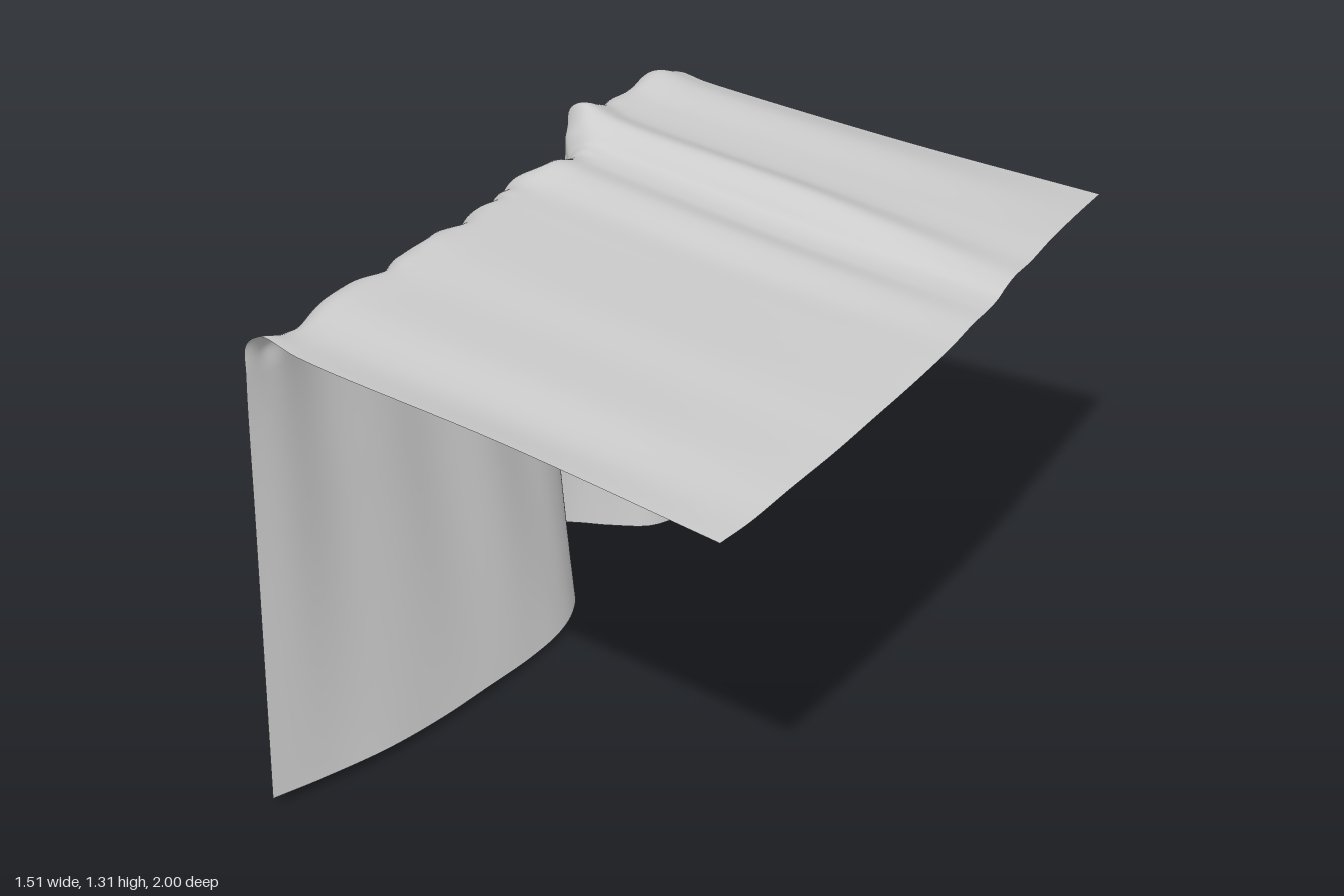
import * as THREE from 'three';

// Stations along the cloth, front to back:
// [hemX, hemZ, crestY, bottomX, bottomY, bottomZ, farZ]
const stations = [
  [-.485, .975, 1.30, -.485, .03, 1.0, .88],
  [-.48, .86, 1.27, -.44, .03, .85, .77],
  [-.51, .70, 1.28, -.40, .03, .68, .62],
  [-.52, .52, 1.265, -.385, .025, .5, .44],
  [-.54, .36, 1.265, -.38, .025, .33, .28],
  [-.55, .20, 1.25, -.382, .02, .17, .12],
  [-.58, .07, 1.24, -.395, .02, .04, -.01],
  [-.6, -.03, 1.235, -.43, .02, -.06, -.1],
  [-.59, -.14, 1.255, -.495, .015, -.14, -.21],
  [-.575, -.22, 1.235, -.6, .025, -.17, -.29],
  [-.595, -.275, 1.245, -.7, .035, -.165, -.345],
  [-.635, -.31, 1.285, -.755, .045, -.21, -.385],
  [-.655, -.35, 1.31, -.755, .045, -.27, -.435],
  [-.66, -.43, 1.275, -.7, .035, -.36, -.53],
  [-.67, -.54, 1.265, -.61, .02, -.44, -.66],
  [-.675, -.67, 1.275, -.54, .005, -.52, -.83],
  [-.68, -.755, 1.24, -.51, 0, -.6, -1.0],
];

// Control points across the cloth, from the free top edge over the bend to the bottom hem
function crossSection([hx, hz, cy, bx, by, bz, fz]) {
  const V = (x, y, z) => new THREE.Vector3(x, y, z);
  const wave = cy - 1.26;
  const far = V(.68 + .129 * fz - .051 * fz * fz,
    1.18 + .22 * wave - .035 * THREE.MathUtils.smoothstep(-fz, .65, 1), fz);
  const near = V(hx + .15, cy - .012 - .25 * wave, hz - .012);
  const mid = far.clone().lerp(near, .5);
  mid.y += .3 * wave - .002;
  const hem = V(hx, cy - .1 - .5 * wave, hz);
  const bottom = V(bx, by, bz);
  return [far, mid, near, V(hx + .055, cy, hz - .003), V(hx + .008, cy - .035, hz), hem,
    hem.clone().lerp(bottom, .33), hem.clone().lerp(bottom, .67), bottom];
}

// Lofts a smooth grid through the sections
function loft(sections, nu, nv) {
  const rails = sections[0].map((_, k) => new THREE.CatmullRomCurve3(sections.map(s => s[k])));
  const pos = [], index = [];
  for (let i = 0; i <= nu; i++) {
    const t = i / nu;
    const across = new THREE.CatmullRomCurve3(rails.map(r => r.getPoint(t)));
    for (let j = 0; j <= nv; j++) {
      const v = j / nv, p = across.getPoint(v);
      // fine gathers along the bend and soft folds on the hanging side
      const bend = Math.exp(-Math.pow((v - .48) / .1, 2));
      const hang = Math.sin(Math.PI * THREE.MathUtils.clamp((v - .55) / .45, 0, 1));
      p.y += .005 * bend * Math.sin(t * 97 + 1.5 * Math.sin(t * 31));
      p.x += .007 * bend * Math.sin(t * 83 + 2 * Math.sin(t * 23)) + .005 * hang * Math.sin(t * 46);
      pos.push(p.x, p.y, p.z);
      if (i < nu && j < nv) {
        const a = i * (nv + 1) + j, b = a + nv + 1;
        index.push(a, b, a + 1, b, b + 1, a + 1);
      }
    }
  }
  const g = new THREE.BufferGeometry();
  g.setAttribute('position', new THREE.Float32BufferAttribute(pos, 3));
  g.setIndex(index);
  g.computeVertexNormals();
  return g;
}

export function createModel() {
  const group = new THREE.Group();
  const cloth = new THREE.Mesh(
    loft(stations.map(crossSection), 192, 72),
    new THREE.MeshStandardMaterial({ color: 0xcccccc, side: THREE.DoubleSide }));
  cloth.name = 'drapedCloth';
  group.add(cloth);
  return group;
}
